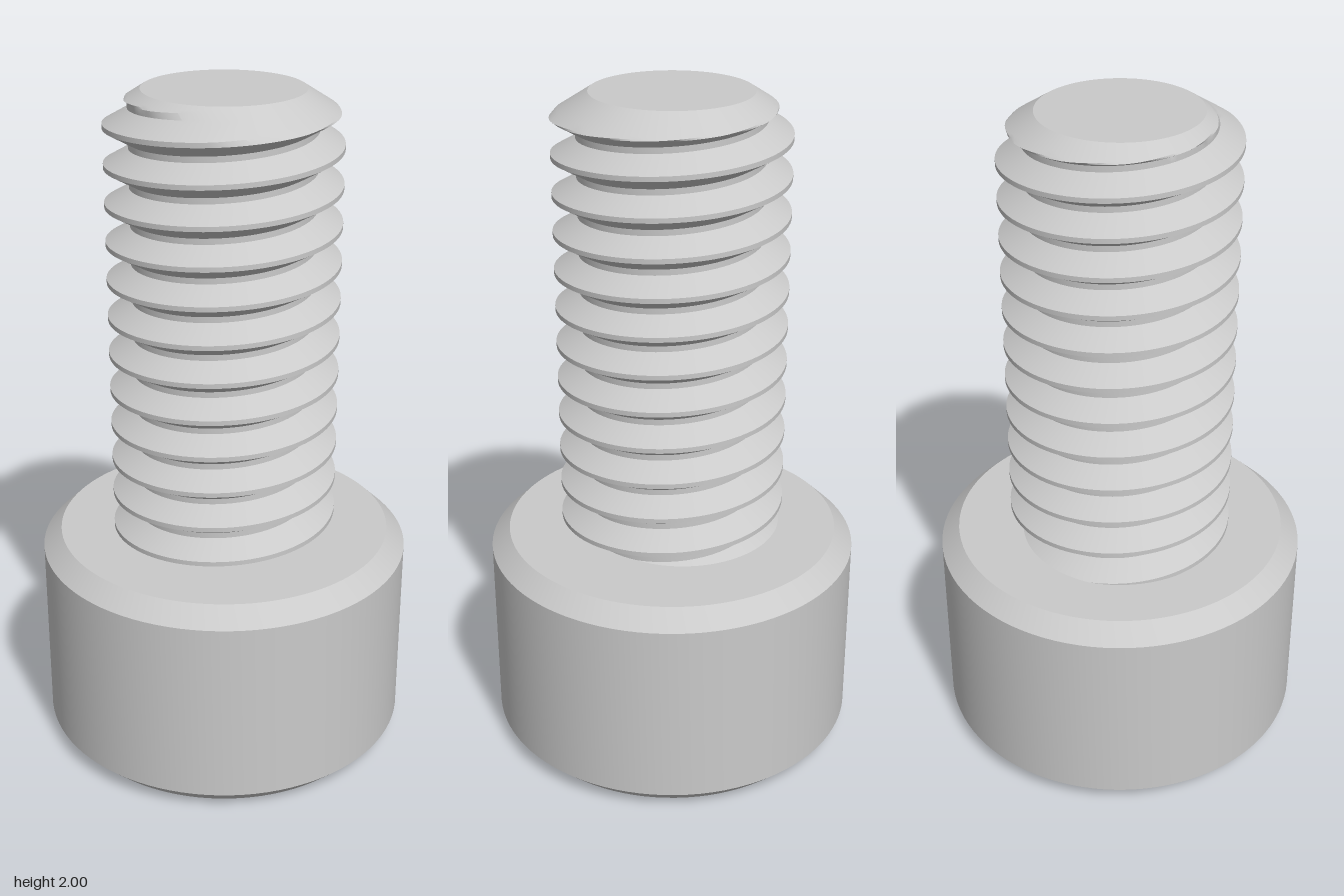
import * as THREE from 'three';
import { toCreasedNormals } from 'three/addons/utils/BufferGeometryUtils.js';

const SEG = 96;
const steel = new THREE.MeshStandardMaterial({ color: 0xcacaca });
steel.name = 'steel grey';

// Surface around the y axis: at(row, phi) returns [radius, y]
function ringSurface(rows, at) {
  const pos = [], index = [];
  for (let i = 0; i < rows; i++) {
    for (let j = 0; j <= SEG; j++) {
      const phi = (j / SEG) * Math.PI * 2;
      const [r, y] = at(i, phi);
      pos.push(r * Math.sin(phi), y, r * Math.cos(phi));
    }
  }
  const point = (k) => new THREE.Vector3().fromArray(pos, k * 3);
  const tri = (a, b, c) => {
    const pa = point(a);
    // leave out collapsed triangles
    if (point(b).sub(pa).cross(point(c).sub(pa)).length() > 1e-9) index.push(a, b, c);
  };
  for (let i = 0; i < rows - 1; i++) {
    for (let j = 0; j < SEG; j++) {
      const a = i * (SEG + 1) + j, d = a + SEG + 1;
      tri(a, a + 1, d);
      tri(d + 1, d, a + 1);
    }
  }
  const geo = new THREE.BufferGeometry();
  geo.setAttribute('position', new THREE.Float32BufferAttribute(pos, 3));
  geo.setIndex(index);
  return toCreasedNormals(geo, 0.5);
}

// Chamfered cylindrical head, open in the middle for the socket
const HEAD_TOP = 0.67, SOCKET_RIM = 0.321;
function headGeometry() {
  const profile = [
    [SOCKET_RIM, 0], [0.497, 0], [0.552, 0.055], [0.552, HEAD_TOP - 0.053], [0.497, HEAD_TOP], [0.2, HEAD_TOP],
  ].map(([x, y]) => new THREE.Vector2(x, y));
  return toCreasedNormals(new THREE.LatheGeometry(profile, SEG), 0.5);
}

// Hexagonal recess with a conical lead-in that scallops the flat walls
function socketGeometry() {
  const apothem = 0.278, depth = 0.333, sixth = Math.PI / 3;
  return ringSurface(4, (row, phi) => {
    const hex = apothem / Math.cos((phi % sixth) - sixth / 2);
    return [[0, depth], [hex, depth], [hex, Math.max(0, SOCKET_RIM - hex)], [SOCKET_RIM, 0]][row];
  });
}

// Right-handed V thread, its rows following the helix, cut by the tip chamfer
const TOP = 2, TIP_R = 0.229;
function threadGeometry() {
  const pitch = 0.1111, crest = 0.335, root = 0.265;
  const flat = 0.007, flank = 0.04, phase = 1.832, cuts = 8;
  const steps = [];
  for (let k = 0; k <= cuts; k++) steps.push(-flat - flank + (flank * k) / cuts);
  for (let k = 0; k <= cuts; k++) steps.push(flat + (flank * k) / cuts);
  const turns = 15, firstTurn = -12;
  return ringSurface(turns * steps.length, (row, phi) => {
    const turn = firstTurn + Math.floor(row / steps.length);
    const centre = phase + pitch * (turn + phi / (Math.PI * 2));
    const y = THREE.MathUtils.clamp(centre + steps[row % steps.length], HEAD_TOP - 0.01, TOP);
    // distance to the nearest crest line
    const u = (y - phase) / pitch - phi / (Math.PI * 2);
    const d = Math.abs(u - Math.round(u)) * pitch;
    const t = THREE.MathUtils.clamp((d - flat) / flank, 0, 1);
    const r = crest + (root - crest) * t;
    return [Math.min(r, TIP_R + (TOP - y) * 1.57), y];
  });
}

export function createModel() {
  const bolt = new THREE.Group();
  bolt.name = 'socketHeadBolt';
  const add = (name, geo) => {
    const mesh = new THREE.Mesh(geo, steel);
    mesh.name = name;
    bolt.add(mesh);
    return mesh;
  };
  add('head', headGeometry());
  add('hexSocket', socketGeometry());
  add('threadedShank', threadGeometry());
  add('tipFace', new THREE.CircleGeometry(TIP_R, SEG).rotateX(-Math.PI / 2)).position.y = TOP;
  return bolt;
}
